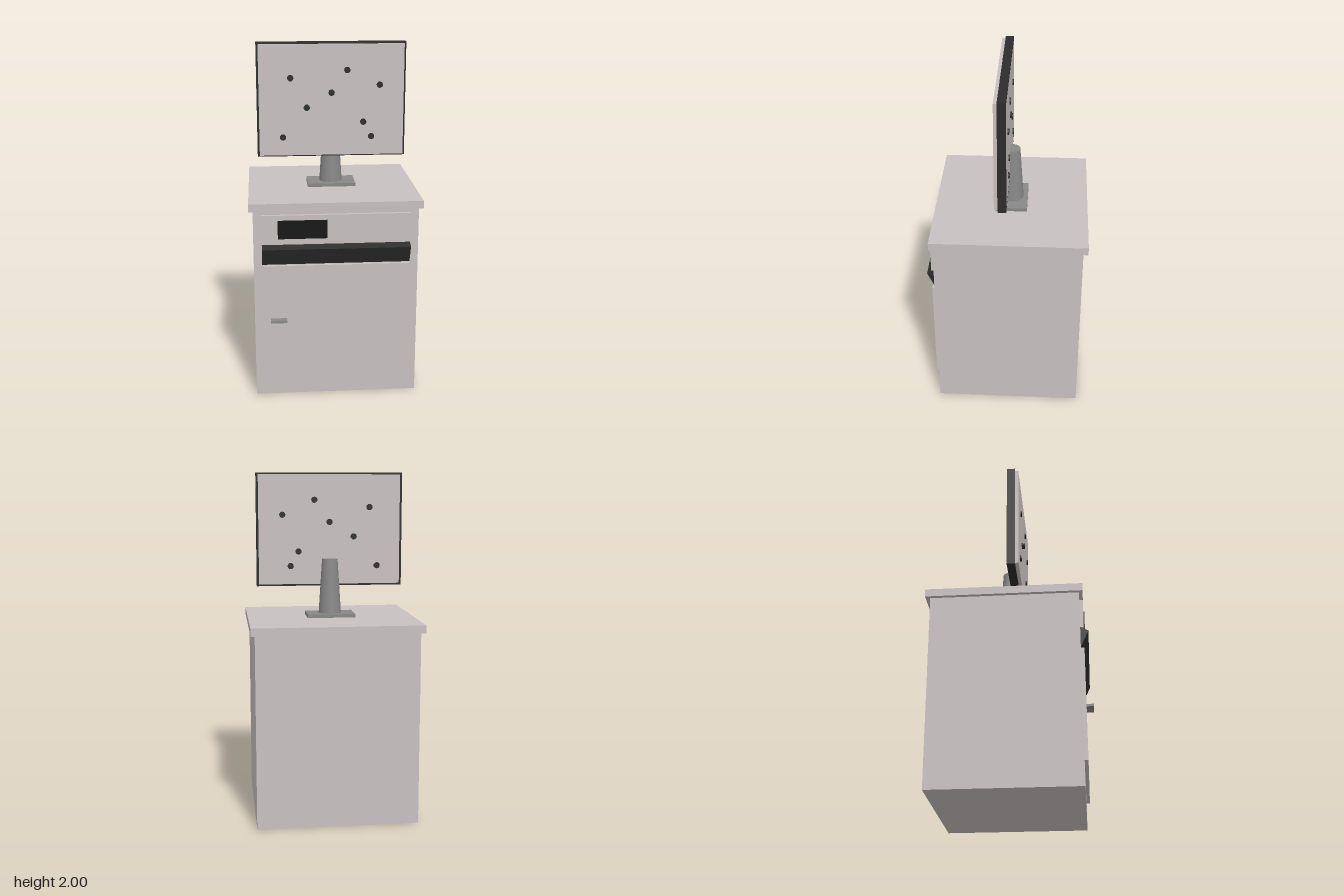
import * as THREE from 'three';

const mat = (color) => new THREE.MeshStandardMaterial({ color });

export function createModel() {
  const model = new THREE.Group();
  const body = mat(0xc8c0c0), dark = mat(0x2c2c2c), black = mat(0x161616), metal = mat(0x888888);

  const add = (name, geometry, material, parent = model) => {
    const mesh = new THREE.Mesh(geometry, material);
    mesh.name = name;
    parent.add(mesh);
    return mesh;
  };
  // Box given by its extents on each axis
  const box = (name, [x0, x1], [y0, y1], [z0, z1], material, parent) => {
    const mesh = add(name, new THREE.BoxGeometry(x1 - x0, y1 - y0, z1 - z0), material, parent);
    mesh.position.set((x0 + x1) / 2, (y0 + y1) / 2, (z0 + z1) / 2);
    return mesh;
  };

  // Cabinet
  box('cabinet', [-0.465, 0.465], [0, 1.115], [-0.437, 0.402], body);
  box('countertop', [-0.488, 0.488], [1.115, 1.16], [-0.463, 0.422], body);
  box('controlPanel', [-0.418, 0.418], [0.923, 1.092], [0.402, 0.422], body);
  box('controlDisplay', [-0.328, -0.05], [0.957, 1.063], [0.41, 0.428], black);
  box('door', [-0.418, 0.418], [0.153, 0.797], [0.402, 0.422], body);
  box('doorHandle', [-0.376, -0.282], [0.467, 0.481], [0.422, 0.462], metal);

  // Wedge-shaped pull running across the front
  const wedge = new THREE.Shape([[-0.39, 0.8], [-0.402, 0.8], [-0.447, 0.9], [-0.402, 0.92], [-0.39, 0.92]]
    .map(([x, y]) => new THREE.Vector2(x, y)));
  const pull = add('slopedPull', new THREE.ExtrudeGeometry(wedge, { depth: 0.836, bevelEnabled: false }), dark);
  pull.rotation.y = Math.PI / 2;
  pull.position.x = -0.418;

  // Stand
  box('standBase', [-0.14, 0.14], [1.16, 1.18], [-0.112, 0.073], metal);
  const column = add('standColumn', new THREE.CylinderGeometry(0.046, 0.067, 0.32, 24), metal);
  column.position.set(0, 1.34, -0.02);

  // Screen: dark frame around a panel that stands proud at the front
  const screen = new THREE.Group();
  screen.name = 'screen';
  screen.position.y = 1.67;
  model.add(screen);
  const rect = (Type, w, h) => new Type([[-w, -h], [w, -h], [w, h], [-w, h]].map(([x, y]) => new THREE.Vector2(x, y)));
  const outline = rect(THREE.Shape, 0.43, 0.33);
  outline.holes.push(rect(THREE.Path, 0.418, 0.32));
  const frame = add('screenFrame', new THREE.ExtrudeGeometry(outline, { depth: 0.048, bevelEnabled: false }), dark, screen);
  frame.position.z = -0.008;
  box('screenPanel', [-0.418, 0.418], [-0.32, 0.32], [-0.008, 0.06], body, screen);

  // Studs passing through the screen
  const studs = [[-0.236, 1.8], [0.09, 1.843], [0.278, 1.757], [0, 1.714],
    [-0.143, 1.629], [0.184, 1.543], [-0.282, 1.457], [0.231, 1.457]];
  const studGeometry = new THREE.CylinderGeometry(0.018, 0.018, 0.084, 16).rotateX(Math.PI / 2);
  for (const [x, y] of studs) {
    add('stud', studGeometry, dark, screen).position.set(x, y - 1.67, 0.026);
  }
  return model;
}
